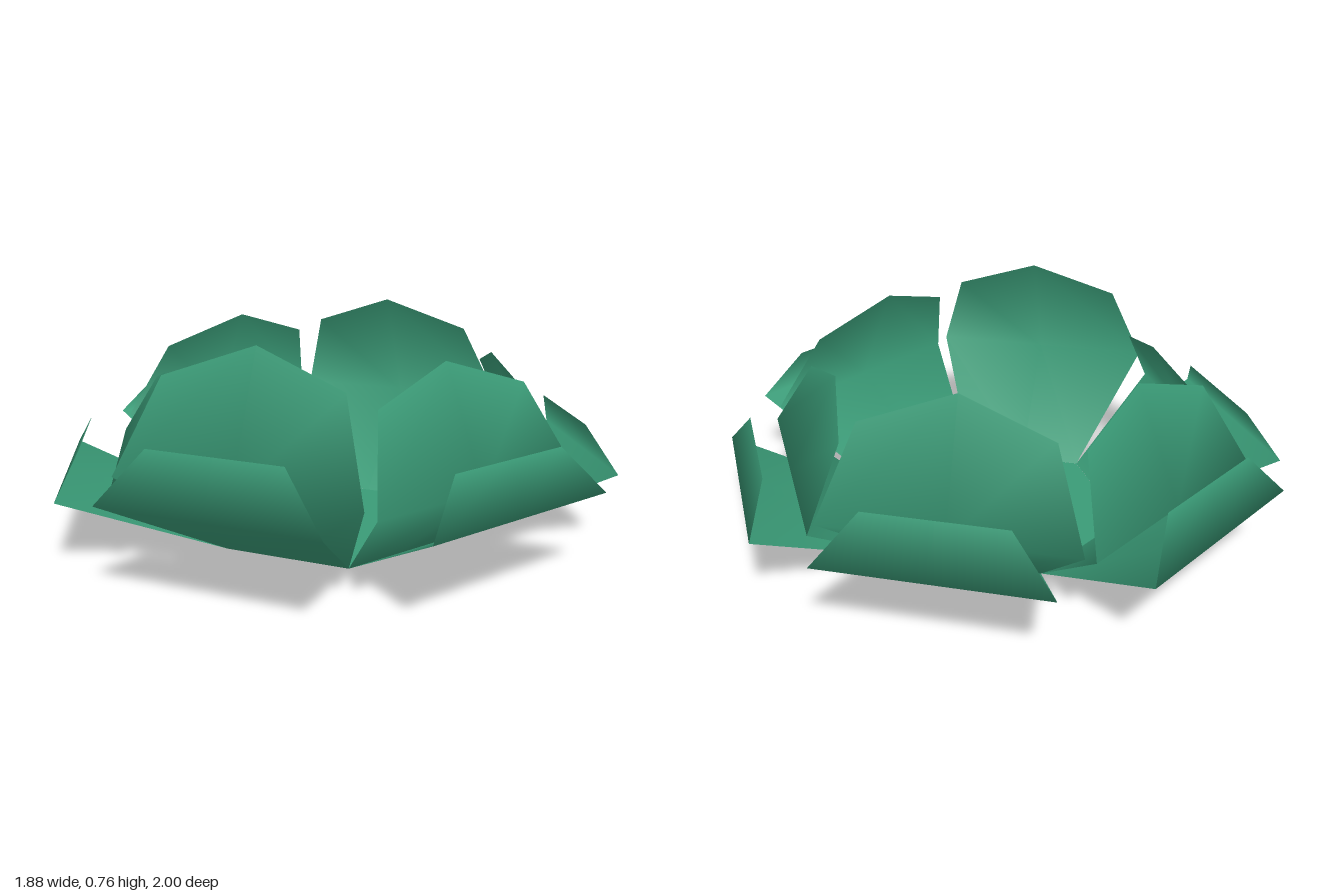
import * as THREE from 'three';

const APOTHEM = 0.39, HALF_EDGE = 0.225;

// Bent petal pointing along +z; each row is [half width, distance out, height, extra middle distance, extra middle height]
function petalGeometry(rows) {
  const pos = [], index = [];
  for (const [w, r, y, dr = 0, dy = 0] of rows) {
    pos.push(-w, y, r, 0, y + dy, r + dr, w, y, r);
  }
  for (let i = 0; i < rows.length - 1; i++) {
    for (let c = 0; c < 2; c++) {
      const a = i * 3 + c, b = a + 1, d = a + 3, e = a + 4;
      index.push(a, b, e, a, e, d);
    }
  }
  const g = new THREE.BufferGeometry();
  g.setAttribute('position', new THREE.Float32BufferAttribute(pos, 3));
  g.setIndex(index);
  return g;
}

export function createModel() {
  const model = new THREE.Group();
  model.name = 'rosette';
  const green = new THREE.MeshStandardMaterial({ color: 0x3a9b77, side: THREE.DoubleSide });
  green.name = 'leaf green';

  // Six-sided floor with corners on the z axis
  const floorGeo = new THREE.CircleGeometry(0.45, 6, Math.PI / 2);
  floorGeo.rotateX(-Math.PI / 2);
  const floor = new THREE.Mesh(floorGeo, green);
  floor.name = 'floor';
  model.add(floor);

  // Tall pointed inner petal and low flat-topped outer petal
  const innerRows = [
    [HALF_EDGE, APOTHEM, 0],
    [0.42, 0.765, 0.32],
    [0.31, 0.63, 0.60, -0.045, 0.10],
  ];
  const outerRows = [
    [HALF_EDGE, APOTHEM, 0],
    [0.37, 0.94, 0.29],
    [0.225, 0.87, 0.45],
  ];

  // Turn around y in degrees from the front, and how tall each pair of petals stands
  const petals = [[30, 1.09], [90, 1], [150, 0.89], [210, 1.07], [270, 1], [330, 0.83]];
  for (const [turn, height] of petals) {
    const pair = new THREE.Group();
    pair.name = 'petalPair';
    pair.rotation.y = THREE.MathUtils.degToRad(turn);
    for (const [name, rows] of [['innerPetal', innerRows], ['outerPetal', outerRows]]) {
      const geo = petalGeometry(rows);
      geo.scale(1, height, 1);
      geo.computeVertexNormals();
      const mesh = new THREE.Mesh(geo, green);
      mesh.name = name;
      pair.add(mesh);
    }
    model.add(pair);
  }
  return model;
}
